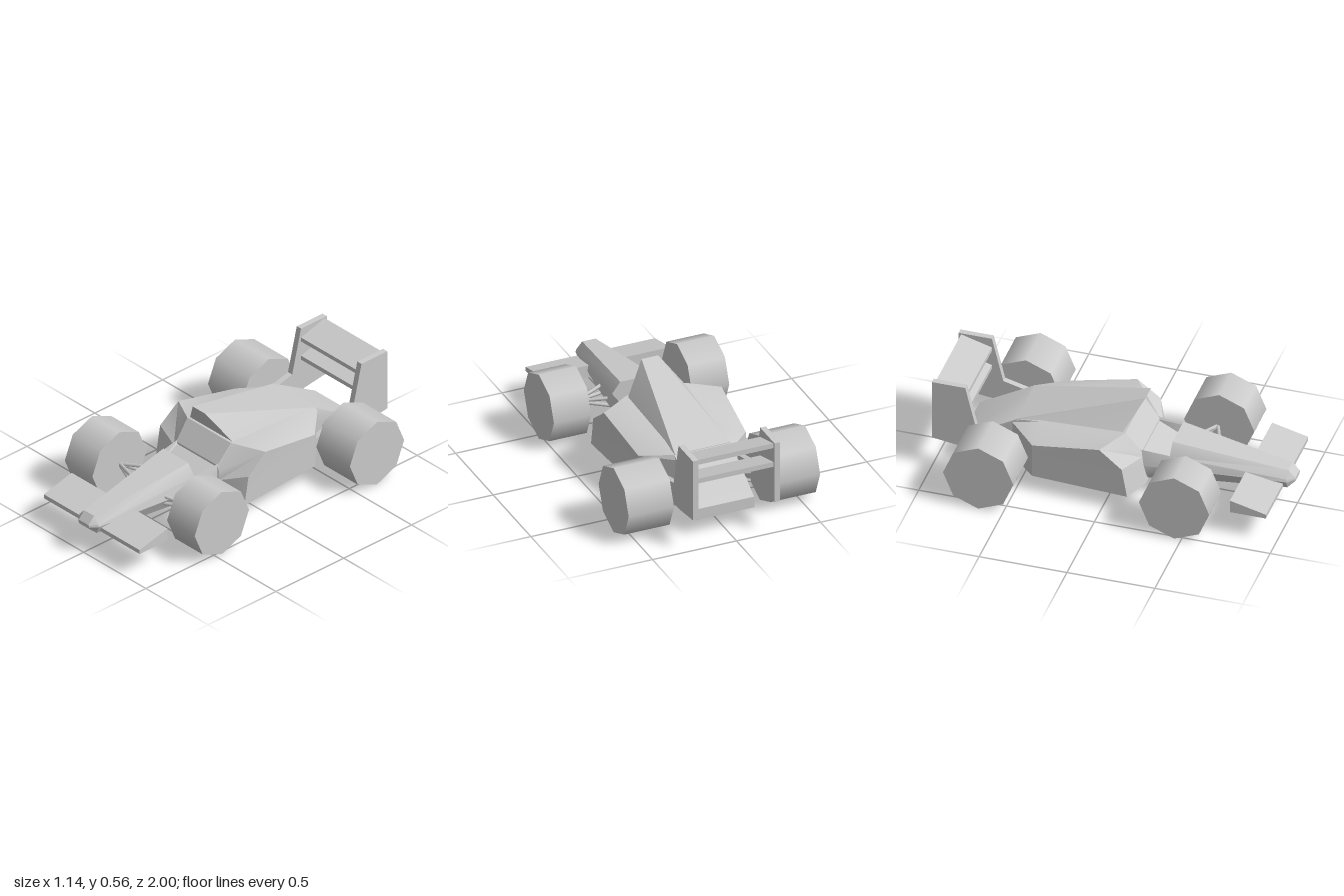
import * as THREE from 'three';
import { toCreasedNormals } from 'three/addons/utils/BufferGeometryUtils.js';

const grey = new THREE.MeshStandardMaterial({ color: 0xcccccc });

function add(parent, name, geometry) {
  const mesh = new THREE.Mesh(geometry, grey);
  mesh.name = name;
  parent.add(mesh);
  return mesh;
}

// Closed loft through rings, front to back. Each ring lists its +x half from bottom to top as [x, y, z].
function loft(halves, crease = 0.5) {
  const rings = halves.map(h => [...h, ...[...h].reverse().map(([x, y, z]) => [-x, y, z])]);
  const n = rings[0].length, index = [];
  for (let r = 0; r < rings.length - 1; r++) {
    for (let i = 0; i < n; i++) {
      const a = r * n + i, b = r * n + (i + 1) % n;
      index.push(a, a + n, b + n, a, b + n, b);
    }
  }
  // end caps, as strips between the mirrored halves
  const last = (rings.length - 1) * n;
  for (let i = 0; i < n / 2 - 1; i++) {
    const j = n - 1 - i;
    index.push(i, i + 1, j - 1, i, j - 1, j);
    index.push(last + i, last + j - 1, last + i + 1, last + i, last + j, last + j - 1);
  }
  const g = new THREE.BufferGeometry();
  g.setAttribute('position', new THREE.Float32BufferAttribute(rings.flat(2), 3));
  g.setIndex(index);
  return toCreasedNormals(g, crease);
}

// Side outline of [z, y] points, extruded across from x0 to x1
function sideExtrude(points, x0, x1) {
  const shape = new THREE.Shape(points.map(([z, y]) => new THREE.Vector2(-z, y)));
  return new THREE.ExtrudeGeometry(shape, { depth: x1 - x0, bevelEnabled: false })
    .rotateY(Math.PI / 2).translate(x0, 0, 0);
}

function rod(parent, name, from, to) {
  const a = new THREE.Vector3(...from), b = new THREE.Vector3(...to);
  const mesh = add(parent, name, new THREE.CylinderGeometry(0.011, 0.011, a.distanceTo(b), 6));
  mesh.position.copy(a).lerp(b, 0.5);
  mesh.quaternion.setFromUnitVectors(new THREE.Vector3(0, 1, 0), b.sub(a).normalize());
}

export function createModel() {
  const car = new THREE.Group();
  car.name = 'openWheelRaceCar';

  // Nose with the cockpit recess behind it
  add(car, 'noseAndCockpit', loft([
    [[0.035, 0.17, 1], [0.042, 0.18, 1], [0.042, 0.185, 1], [0.038, 0.192, 1]],
    [[0.06, 0.135, 0.96], [0.08, 0.18, 0.96], [0.075, 0.195, 0.96], [0.04, 0.235, 0.96]],
    [[0.12, 0.11, 0.32], [0.165, 0.195, 0.32], [0.15, 0.265, 0.32], [0.1, 0.33, 0.32]],
    [[0.12, 0.11, 0.319], [0.165, 0.195, 0.319], [0.15, 0.268, 0.319], [0.14, 0.2, 0.319]],
    [[0.17, 0.1, 0.15], [0.185, 0.195, 0.15], [0.165, 0.288, 0.15], [0.155, 0.275, 0.15]],
  ]));

  // Main body: sidepods tapering into the tail
  add(car, 'bodyAndSidepods', loft([
    [[0.2, 0.098, 0.2], [0.19, 0.2, 0.18], [0.18, 0.25, 0.17], [0.165, 0.278, 0.165]],
    [[0.355, 0.098, 0.14], [0.355, 0.27, 0.11], [0.35, 0.372, -0.02], [0.175, 0.388, 0.075]],
    [[0.32, 0.098, -0.41], [0.32, 0.25, -0.41], [0.32, 0.3, -0.41], [0.172, 0.36, -0.41]],
    [[0.17, 0.098, -0.57], [0.17, 0.25, -0.57], [0.17, 0.32, -0.57], [0.168, 0.342, -0.55]],
    [[0.17, 0.098, -0.86], [0.17, 0.13, -0.86], [0.17, 0.155, -0.86], [0.168, 0.165, -0.86]],
  ], 0.45));

  // Engine cover with an overhanging front
  add(car, 'engineCover', loft([
    [[0.1, 0.37, 0.08], [0.175, 0.38, 0.055], [0.05, 0.55, 0.15]],
    [[0.1, 0.3, -0.55], [0.17, 0.335, -0.55], [0.165, 0.345, -0.55]],
  ], 0.45));

  // Front wing
  add(car, 'frontWing', sideExtrude([[0.94, 0.142], [0.94, 0.167], [0.735, 0.218], [0.735, 0.142]], -0.385, 0.385));

  // Rear wing planes
  const rearWing = new THREE.Group();
  rearWing.name = 'rearWing';
  car.add(rearWing);
  for (const [name, y] of [['upperPlane', 0.475], ['lowerPlane', 0.358]]) {
    add(rearWing, name, sideExtrude(
      [[-0.81, y], [-0.81, y + 0.025], [-0.985, y + 0.075], [-0.985, y + 0.045]], -0.23, 0.23));
  }

  for (const [side, s] of [['left', 1], ['right', -1]]) {
    // End plate with its forward support strip
    const plate = [[-1, 0.19], [-1, 0.557], [-0.81, 0.557], [-0.745, 0.29], [-0.47, 0.22], [-0.47, 0.14], [-0.84, 0.168]];
    const [x0, x1] = s > 0 ? [0.226, 0.26] : [-0.26, -0.226];
    add(rearWing, side + 'EndPlate', sideExtrude(plate, x0, x1));

    // Eight-sided wheels
    for (const [end, z, width] of [['Front', 0.46, 0.222], ['Rear', -0.64, 0.27]]) {
      const tyre = new THREE.CylinderGeometry(0.2, 0.2, width, 8).rotateZ(Math.PI / 2);
      add(car, side + end + 'Wheel', tyre).position.set(s * (0.3 + width / 2), 0.2, z);
    }

    // Suspension arms
    for (const y of [0.165, 0.215]) {
      rod(car, side + 'FrontArm', [s * 0.31, 0.19, 0.45], [s * 0.12, y, 0.36]);
      rod(car, side + 'FrontArm', [s * 0.31, 0.19, 0.45], [s * 0.11, y, 0.525]);
      rod(car, side + 'RearArm', [s * 0.31, y, -0.715], [s * 0.15, y - 0.01, -0.645]);
      rod(car, side + 'RearArm', [s * 0.31, y, -0.56], [s * 0.15, y - 0.01, -0.625]);
    }
  }
  return car;
}
